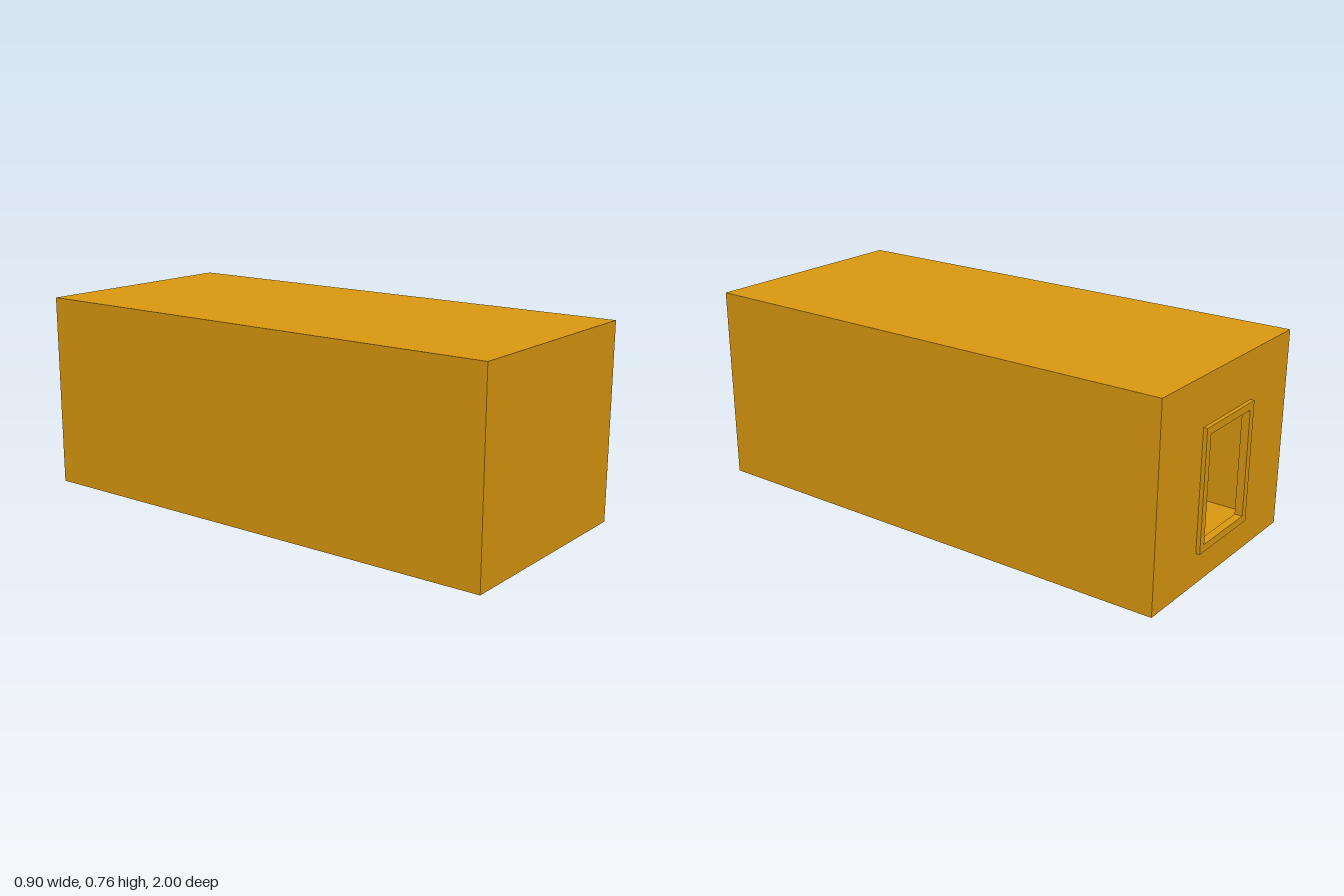
import * as THREE from 'three';

const W = 0.9, H = 0.765, T = 0.015;      // shell width, height, wall thickness
const BACK = -0.985, FRONT = 1;           // shell ends along z
const WIN_Y = 0.35;                       // window centre height
const OPEN_W = 0.28, OPEN_H = 0.405;      // window opening
const RIM = 0.028, RIM_DEPTH = 0.03;      // window frame

const material = new THREE.MeshStandardMaterial({ color: 0xdd9a10 });

// Rectangle centred on x = 0 at height cy, as a shape or a hole path
function rect(Type, w, h, cy) {
  const p = new Type();
  p.moveTo(-w / 2, cy - h / 2);
  p.lineTo(w / 2, cy - h / 2);
  p.lineTo(w / 2, cy + h / 2);
  p.lineTo(-w / 2, cy + h / 2);
  p.closePath();
  return p;
}

// Rectangular plate with a rectangular hole, extruded from z0 to z1
function holedPlate(name, outer, inner, z0, z1) {
  const shape = rect(THREE.Shape, ...outer);
  shape.holes.push(rect(THREE.Path, ...inner));
  const geo = new THREE.ExtrudeGeometry(shape, { depth: z1 - z0, bevelEnabled: false });
  geo.translate(0, 0, z0);
  const mesh = new THREE.Mesh(geo, material);
  mesh.name = name;
  return mesh;
}

export function createModel() {
  const group = new THREE.Group();
  group.name = 'hollowBoxWithWindow';

  // Floor, ceiling and side walls as one sleeve
  group.add(holedPlate('sleeve', [W, H, H / 2], [W - 2 * T, H - 2 * T, H / 2], BACK + T, FRONT - T));

  // Closed front wall
  const front = new THREE.Mesh(new THREE.BoxGeometry(W, H, T), material);
  front.name = 'frontWall';
  front.position.set(0, H / 2, FRONT - T / 2);
  group.add(front);

  // Back wall with the window cut through
  const frameSize = [OPEN_W + 2 * RIM, OPEN_H + 2 * RIM, WIN_Y];
  group.add(holedPlate('backWall', [W, H, H / 2], frameSize, BACK, BACK + T));

  // Raised frame lining the opening
  group.add(holedPlate('windowFrame', frameSize, [OPEN_W, OPEN_H, WIN_Y], -1, -1 + RIM_DEPTH));

  return group;
}
